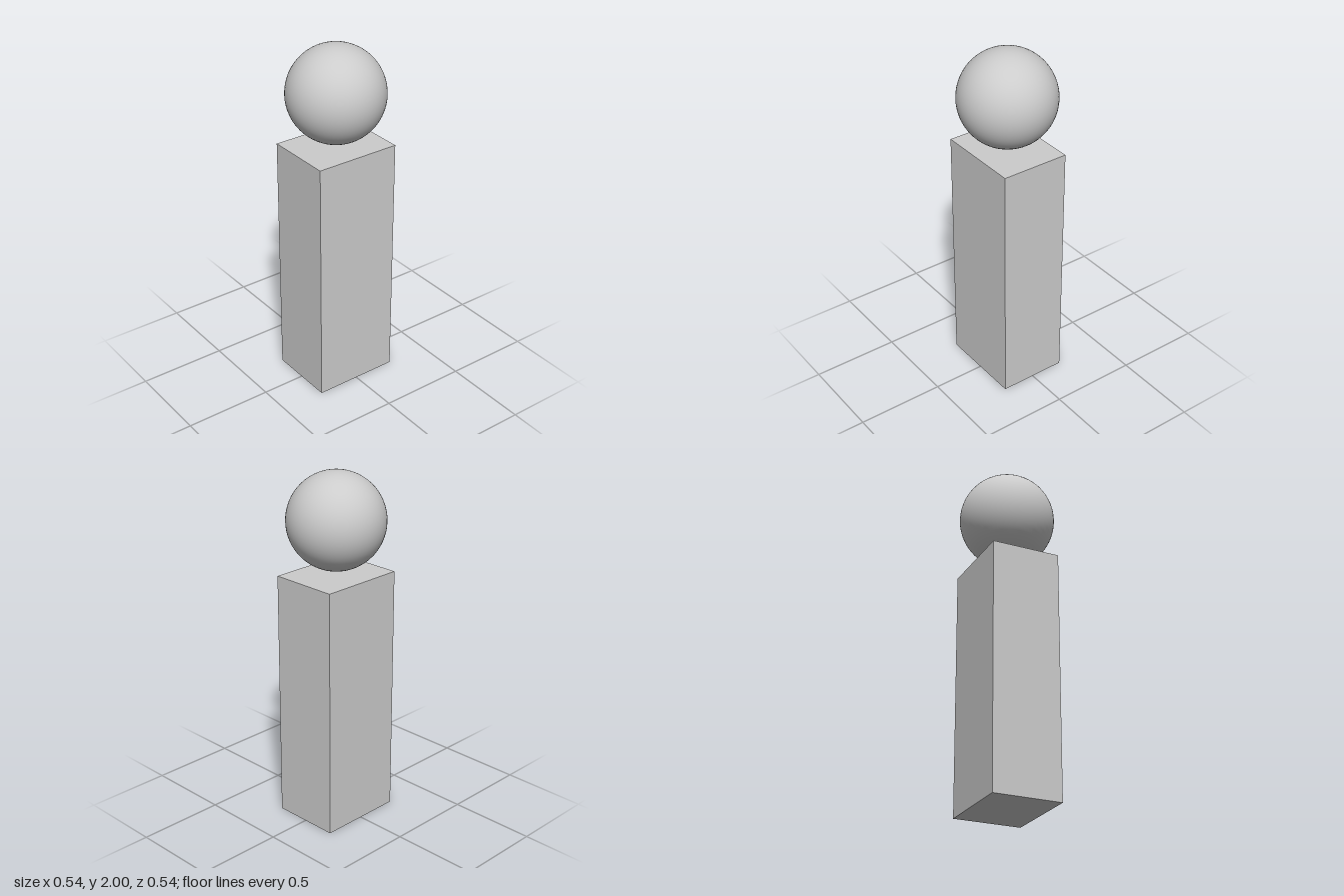
import * as THREE from 'three';

const BODY = { width: 0.395, height: 1.43, depth: 0.497 };
const HEAD_RADIUS = 0.271;

export function createModel() {
  const model = new THREE.Group();
  const material = new THREE.MeshStandardMaterial({ color: 0xcccccc });

  // Upright rectangular body standing on the ground
  const body = new THREE.Mesh(
    new THREE.BoxGeometry(BODY.width, BODY.height, BODY.depth),
    material
  );
  body.name = 'body';
  body.position.y = BODY.height / 2;

  // Smooth round head floating just above the body
  const head = new THREE.Mesh(new THREE.SphereGeometry(HEAD_RADIUS, 64, 32), material);
  head.name = 'head';
  head.position.y = 2 - HEAD_RADIUS;

  model.add(body, head);
  return model;
}
